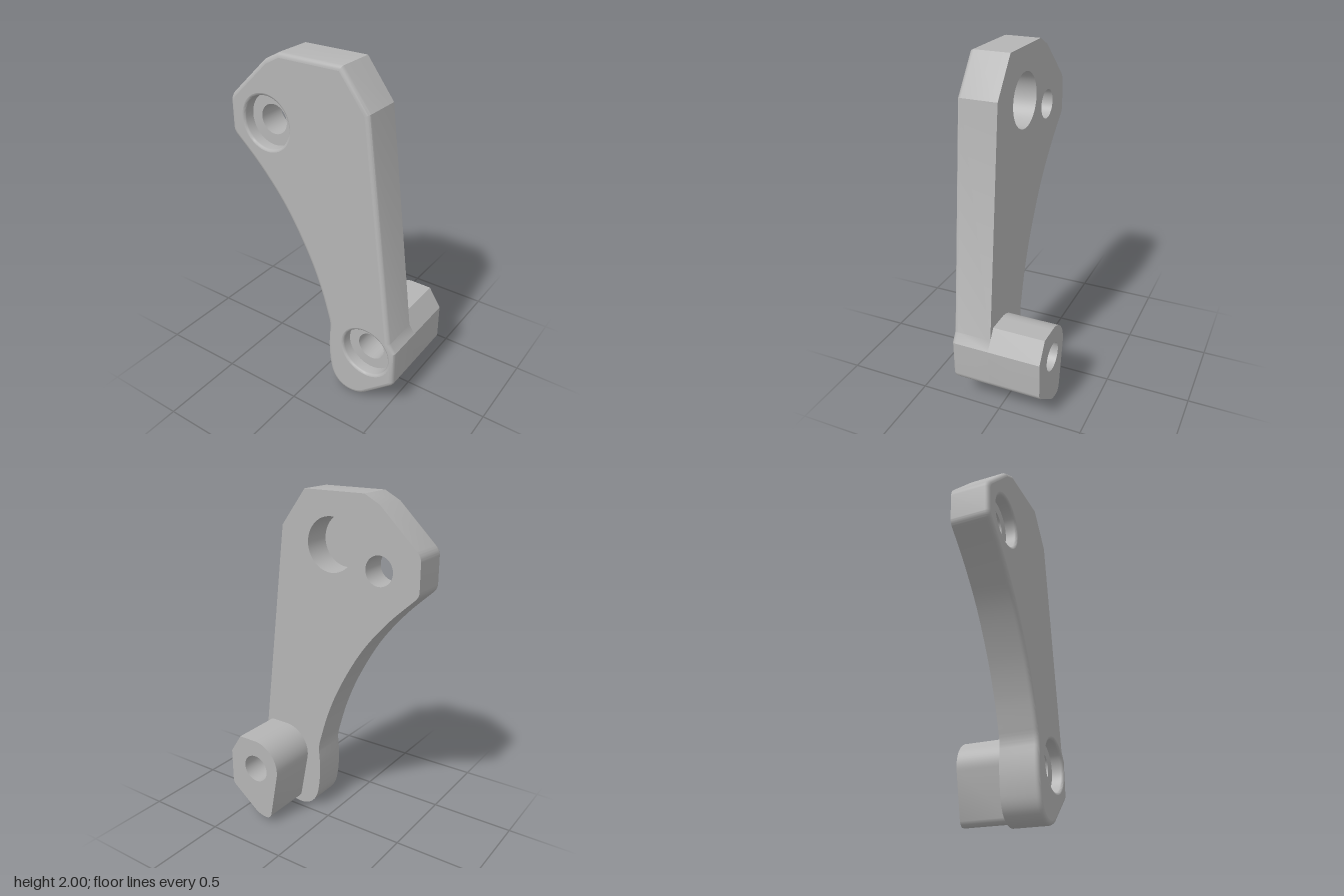
import * as THREE from 'three';
import { toCreasedNormals } from 'three/addons/utils/BufferGeometryUtils.js';

const BACK = -0.27, MID = 0.04, FRONT = 0.27;
const FILLET = 0.025, HOLE = 0.085, BORE = 0.15, LIP = 0.165;
const UPPER = [-0.3, 1.605], LOWER = [0.35, 0.35], POCKET = [0.01, 1.71];
const POCKET_R = 0.155, POCKET_FLOOR = 0.21, BORE_FLOOR = 0.2;

const v = (x, y) => new THREE.Vector2(x, y);

// Counter-clockwise outline of the main plate
function plateOutline() {
  const s = new THREE.Shape();
  s.moveTo(0.185, 2);
  s.lineTo(-0.2, 2);
  s.lineTo(-0.295, 1.95);
  s.lineTo(-0.52, 1.735);
  s.quadraticCurveTo(-0.545, 1.71, -0.545, 1.68);
  s.lineTo(-0.545, 1.53);
  s.quadraticCurveTo(-0.545, 1.5, -0.52, 1.478);
  s.splineThru([v(-0.36, 1.325), v(-0.2, 1.13), v(-0.06, 0.89), v(0.03, 0.68), v(0.09, 0.48)]);
  s.quadraticCurveTo(0.1, 0.44, 0.096, 0.4);
  s.bezierCurveTo(0.085, 0.3, 0.088, 0.21, 0.106, 0.12);
  s.bezierCurveTo(0.125, 0.04, 0.18, 0, 0.245, 0);
  s.quadraticCurveTo(0.305, 0, 0.35, 0.035);
  s.lineTo(0.52, 0.178);
  s.quadraticCurveTo(0.54, 0.195, 0.54, 0.215);
  s.lineTo(0.54, 0.42);
  s.lineTo(0.505, 0.475);
  s.lineTo(0.343, 1.79);
  return s.getPoints(10);
}

// Counter-clockwise outline of the rear boss
function bossOutline() {
  const s = new THREE.Shape();
  s.moveTo(0.465, 0.537);
  s.lineTo(0.35, 0.537);
  s.absarc(0.352, 0.37, 0.167, Math.PI / 2, Math.PI + 0.2, false);
  s.lineTo(0.24, 0.06);
  s.quadraticCurveTo(0.255, 0.025, 0.285, 0.03);
  s.quadraticCurveTo(0.315, 0.03, 0.35, 0.045);
  s.lineTo(0.52, 0.178);
  s.quadraticCurveTo(0.54, 0.195, 0.54, 0.215);
  s.lineTo(0.54, 0.42);
  return s.getPoints(10);
}

// Move every point of a loop inward by d, mitred at the corners
function inset(pts, d) {
  const n = pts.length;
  return pts.map((p, i) => {
    const a = p.clone().sub(pts[(i + n - 1) % n]).normalize();
    const b = pts[(i + 1) % n].clone().sub(p).normalize();
    const k = d / (1 + a.dot(b));
    return v(p.x - (a.y + b.y) * k, p.y + (a.x + b.x) * k);
  });
}

// Wall through a stack of equal loops, each { pts, z }
function wall(rings) {
  const n = rings[0].pts.length, pos = [], idx = [];
  for (const { pts, z } of rings) for (const p of pts) pos.push(p.x, p.y, z);
  for (let r = 0; r < rings.length - 1; r++) {
    for (let i = 0; i < n; i++) {
      const a = r * n + i, b = r * n + (i + 1) % n;
      idx.push(a, b, b + n, a, b + n, a + n);
    }
  }
  const g = new THREE.BufferGeometry();
  g.setAttribute('position', new THREE.Float32BufferAttribute(pos, 3));
  g.setIndex(idx);
  return toCreasedNormals(g, 0.45);
}

// Flat face with round holes [centre, radius], facing front or back
function cap(pts, holes, z, back = false) {
  const s = new THREE.Shape(pts);
  for (const [[x, y], r] of holes) s.holes.push(new THREE.Path().absarc(x, y, r, 0, Math.PI * 2, false));
  const g = new THREE.ShapeGeometry(s, 24).translate(0, 0, z);
  if (back) {
    g.setIndex(Array.from(g.index.array).reverse());
    g.computeVertexNormals();
  }
  return g;
}

// Inside surface of a hole from [radius, z] pairs, listed front to back
function cavity([x, y], profile) {
  const g = new THREE.LatheGeometry(profile.map(p => v(...p)), 48);
  return toCreasedNormals(g.rotateX(Math.PI / 2).translate(x, y, 0), 0.6);
}

export function createModel() {
  const metal = new THREE.MeshStandardMaterial({ color: 0xb4b4b4 });
  metal.name = 'grey metal';
  const model = new THREE.Group();
  model.name = 'bracket';
  const add = (parent, name, geometry) => {
    const m = new THREE.Mesh(geometry, metal);
    m.name = name;
    parent.add(m);
  };

  // Plate with a rounded front edge
  const plate = new THREE.Group();
  plate.name = 'plate';
  const outline = plateOutline();
  const rings = [{ pts: outline, z: MID }];
  for (let i = 0; i <= 4; i++) {
    const t = i * Math.PI / 8;
    rings.push({
      pts: inset(outline, FILLET * (1 - Math.cos(t))),
      z: FRONT - FILLET * (1 - Math.sin(t)),
    });
  }
  add(plate, 'plateEdge', wall(rings));
  add(plate, 'plateFront', cap(rings[5].pts, [[UPPER, LIP], [LOWER, LIP]], FRONT));
  add(plate, 'plateBack', cap(outline, [[UPPER, HOLE], [LOWER, HOLE], [POCKET, POCKET_R]], MID, true));

  // Counterbored bolt holes with softened lips
  const lip = [];
  for (let i = 0; i <= 3; i++) {
    const t = i * Math.PI / 6;
    lip.push([LIP - (LIP - BORE) * Math.sin(t), FRONT - (LIP - BORE) * (1 - Math.cos(t))]);
  }
  const bolt = end => [...lip, [BORE, BORE_FLOOR], [HOLE, BORE_FLOOR], [HOLE, end]];
  add(plate, 'upperBoltHole', cavity(UPPER, bolt(MID)));
  add(plate, 'lowerBoltHole', cavity(LOWER, bolt(BACK)));

  // Blind pocket in the back
  add(plate, 'backPocket', cavity(POCKET, [[0, POCKET_FLOOR], [POCKET_R, POCKET_FLOOR], [POCKET_R, MID]]));

  // Boss behind the lower hole
  const boss = new THREE.Group();
  boss.name = 'boss';
  const bossPts = bossOutline();
  add(boss, 'bossSide', wall([{ pts: bossPts, z: BACK }, { pts: bossPts, z: MID }]));
  add(boss, 'bossBack', cap(bossPts, [[LOWER, HOLE]], BACK, true));

  model.add(plate, boss);
  return model;
}
